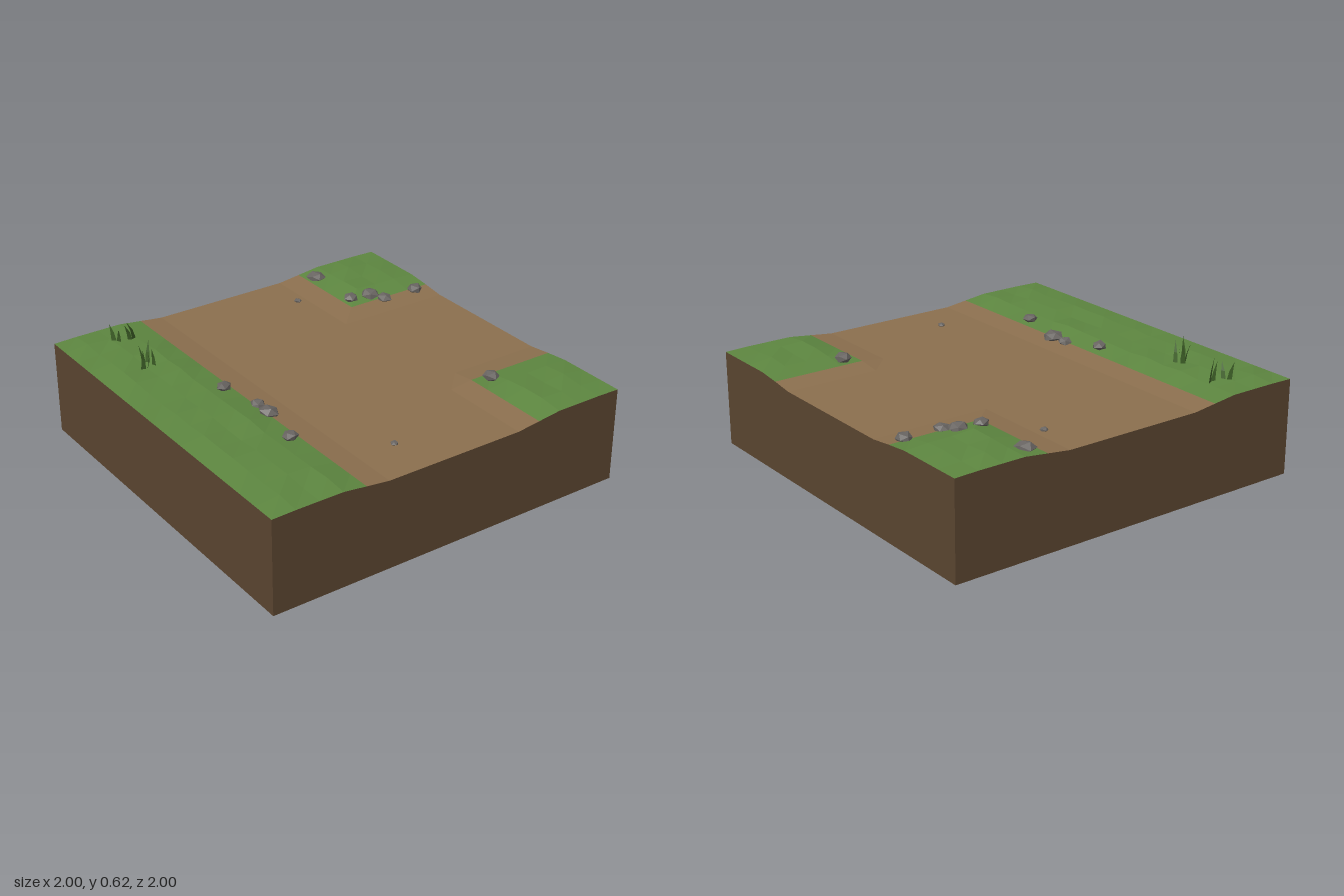
import * as THREE from 'three';

const CELLS = 16, STEP = 2 / CELLS;

const mat = (name, color, side = THREE.FrontSide) => {
  const m = new THREE.MeshStandardMaterial({ color, side, flatShading: true });
  m.name = name;
  return m;
};

// Repeatable value between 0 and 1 for any two numbers
const hash = (a, b) => {
  const s = Math.sin(a * 127.1 + b * 311.7) * 43758.5453;
  return s - Math.floor(s);
};

// Distance to the centre line of the road and its side branch
const roadDistance = (x, z) => x > 0 ? Math.min(x, Math.abs(z)) : -x;

// Ground height: sunken road, sloped shoulders, bumpy grass, tidy outer edge
function ground(x, z) {
  const d = roadDistance(x, z);
  const slope = THREE.MathUtils.clamp((d - 0.375) / 0.25, 0, 1);
  let y = 0.472 + 0.031 * slope;
  const outer = Math.max(Math.abs(x), Math.abs(z)) > 0.99;
  if (d > 0.55 && !outer) y += 0.013 * hash(Math.round(x / STEP), Math.round(z / STEP));
  if (Math.abs(x) > 0.99 && d > 0.6) y = 0.5;
  return y;
}

function meshFrom(points, material, name) {
  const geo = new THREE.BufferGeometry();
  geo.setAttribute('position', new THREE.Float32BufferAttribute(points, 3));
  geo.computeVertexNormals();
  const mesh = new THREE.Mesh(geo, material);
  mesh.name = name;
  return mesh;
}

const quad = (out, a, b, c, d) => out.push(...a, ...b, ...d, ...b, ...c, ...d);

function terrain(group, grassMat, roadMat, soilMat, baseMat) {
  const grass = [], road = [], walls = [], base = [];
  const at = (x, z) => [x, ground(x, z), z];

  // Top surface, each cell assigned to grass or road
  for (let i = 0; i < CELLS; i++) {
    for (let j = 0; j < CELLS; j++) {
      const x = -1 + i * STEP, z = -1 + j * STEP;
      const onRoad = roadDistance(x + STEP / 2, z + STEP / 2) < 0.5;
      quad(onRoad ? road : grass, at(x, z), at(x, z + STEP), at(x + STEP, z + STEP), at(x + STEP, z));
    }
  }

  // Cut sides following the surface edge
  const edges = [t => [t, 1], t => [1, -t], t => [-t, -1], t => [-1, t]];
  for (const edge of edges) {
    for (let i = 0; i < CELLS; i++) {
      const [x0, z0] = edge(-1 + i * STEP), [x1, z1] = edge(-1 + (i + 1) * STEP);
      quad(walls, at(x0, z0), [x0, 0, z0], [x1, 0, z1], at(x1, z1));
    }
  }
  quad(base, [-1, 0, -1], [1, 0, -1], [1, 0, 1], [-1, 0, 1]);

  group.add(
    meshFrom(grass, grassMat, 'grassGround'), meshFrom(road, roadMat, 'dirtRoad'),
    meshFrom(walls, soilMat, 'soilSides'), meshFrom(base, baseMat, 'soilUnderside'));
}

// Faceted stone: an icosahedron with its corners pushed in and out
function rock(x, z, r, lift, seed, material) {
  const geo = new THREE.IcosahedronGeometry(1, 0);
  const p = geo.attributes.position, v = new THREE.Vector3();
  for (let i = 0; i < p.count; i++) {
    v.fromBufferAttribute(p, i);
    const key = Math.round(v.x * 10) + Math.round(v.y * 10) * 3.7;
    v.multiplyScalar(0.86 + 0.28 * hash(key + Math.round(v.z * 10) * 7.3, seed));
    p.setXYZ(i, v.x, v.y, v.z);
  }
  geo.computeVertexNormals();
  const mesh = new THREE.Mesh(geo, material);
  mesh.scale.set(r, r * 0.6, r * (0.9 + 0.2 * hash(seed, 5)));
  mesh.rotation.y = seed * 1.9;
  mesh.position.set(x, ground(x, z) + lift, z);
  return mesh;
}

// Tapering blade with a slight bend, from base to tip
function blade(bx, bz, tx, tz, height, angle, material) {
  const y = ground(bx, bz) - 0.005, w = 0.013;
  const dx = Math.cos(angle) * w, dz = Math.sin(angle) * w;
  const mx = bx + (tx - bx) * 0.35, mz = bz + (tz - bz) * 0.35, my = y + (height - y) * 0.5;
  const pts = [];
  const l = [mx - dx * 0.7, my, mz - dz * 0.7], r = [mx + dx * 0.7, my, mz + dz * 0.7];
  quad(pts, l, [bx - dx, y, bz - dz], [bx + dx, y, bz + dz], r);
  pts.push(...l, ...r, tx, height, tz);
  return meshFrom(pts, material, 'grassBlade');
}

export function createModel() {
  const model = new THREE.Group();
  model.name = 'roadJunctionTile';
  const stone = mat('stone grey', 0x686461);
  const bladeGreen = mat('blade green', 0x3f6128, THREE.DoubleSide);

  terrain(model, mat('grass green', 0x5d8640), mat('road dirt', 0x8b6f4e),
    mat('soil brown', 0x5a4530), mat('dark soil', 0x4a3826));

  // Stones along the shoulders and two pebbles on the road: x, z, radius, lift
  const rocks = new THREE.Group();
  rocks.name = 'rocks';
  [
    [0.55, -0.9, 0.052, 0.005], [0.545, -0.57, 0.042, 0.015], [0.66, -0.55, 0.05, 0.01],
    [0.71, -0.49, 0.044, 0.005], [0.91, -0.485, 0.046, 0.008], [0.58, 0.55, 0.045, 0.015],
    [-0.55, -0.1, 0.042, 0.022], [-0.49, 0.11, 0.038, 0.008], [-0.49, 0.205, 0.053, 0.008],
    [-0.55, 0.475, 0.042, 0.018], [0.325, -0.75, 0.021, 0.004], [-0.165, 0.755, 0.021, 0.004],
  ].forEach(([x, z, r, lift], i) => {
    const mesh = rock(x, z, r, lift, i + 1, stone);
    mesh.name = r < 0.03 ? 'pebble' : 'rock';
    rocks.add(mesh);
  });
  model.add(rocks);

  // Tufts of grass: base x, base z, tip x, tip z, tip height, turn
  const tufts = [
    [[-0.77, -0.49, -0.78, -0.47, 0.62, 0.3], [-0.75, -0.52, -0.76, -0.55, 0.61, -0.5],
      [-0.72, -0.54, -0.7, -0.555, 0.62, 0.8], [-0.705, -0.5, -0.73, -0.47, 0.61, 1.2],
      [-0.74, -0.5, -0.74, -0.48, 0.59, -0.9]],
    [[-0.74, -0.845, -0.755, -0.86, 0.6, 0.6], [-0.725, -0.82, -0.74, -0.79, 0.59, 1.1],
      [-0.64, -0.815, -0.695, -0.785, 0.62, -0.4], [-0.665, -0.81, -0.7, -0.8, 0.6, 0.2]],
  ];
  for (const blades of tufts) {
    const tuft = new THREE.Group();
    tuft.name = 'grassTuft';
    for (const b of blades) tuft.add(blade(...b, bladeGreen));
    model.add(tuft);
  }
  return model;
}
